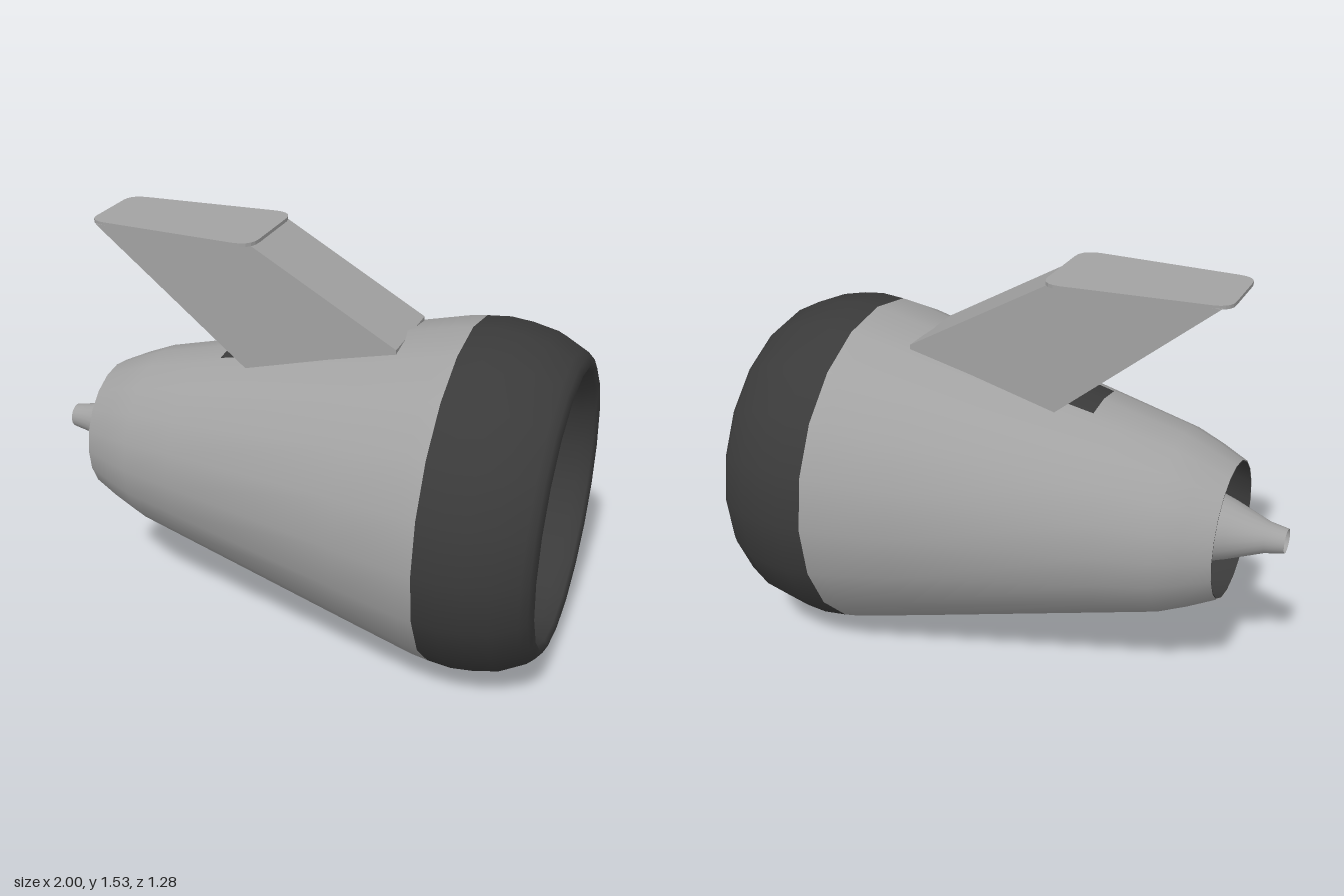
import * as THREE from 'three';

const AXIS_Y = 0.645;
const SIDES = 20;

export function createModel() {
  const light = new THREE.MeshStandardMaterial({ name: 'lightGrey', color: 0xa2a2a2, side: THREE.DoubleSide });
  const dark = new THREE.MeshStandardMaterial({ name: 'darkGrey', color: 0x3a3a3a, side: THREE.DoubleSide });

  const model = new THREE.Group();
  model.name = 'jetEngine';
  const engine = new THREE.Group();
  engine.name = 'engine';
  engine.position.y = AXIS_Y;
  model.add(engine);

  const add = (parent, name, geometry, material) => {
    const mesh = new THREE.Mesh(geometry, material);
    mesh.name = name;
    parent.add(mesh);
    return mesh;
  };

  // Revolve [x, radius] pairs round the engine's long axis
  const turned = (name, profile, material, sides = SIDES, start = 0, sweep = Math.PI * 2) => {
    const points = profile.map(([x, r]) => new THREE.Vector2(r, x));
    const geometry = new THREE.LatheGeometry(points, sides, start, sweep).rotateZ(-Math.PI / 2);
    return add(engine, name, geometry, material);
  };

  // Casing, intake lip and duct lining
  turned('casing', [[-0.8, 0.256], [-0.7, 0.304], [-0.6, 0.345], [-0.4, 0.394], [0.3, 0.565],
    [0.55, 0.625], [0.612, 0.634]], light);
  turned('intakeLip', [[0.612, 0.634], [0.7, 0.642], [0.78, 0.634], [0.87, 0.615], [0.96, 0.568],
    [0.985, 0.545], [1, 0.515], [0.985, 0.497], [0.94, 0.483], [0.85, 0.482], [0.5, 0.49]], dark);
  turned('ductLining', [[0.5, 0.49], [0.3, 0.5], [-0.58, 0.325], [-0.8, 0.252]], dark);

  // Core with its exhaust cone
  turned('exhaustCone', [[-1, 0.045], [-0.93, 0.058], [-0.8, 0.108], [-0.55, 0.19], [0.38, 0.27]], light);
  turned('coreFront', [[0.38, 0.27], [0.38, 0.001]], light);
  turned('tailPipeHole', [[-0.97, 0.001], [-0.97, 0.05]], dark);

  // Spinner
  const spinner = [];
  for (let i = 0; i <= 8; i++) {
    const a = (i / 8) * Math.PI / 2;
    spinner.push([0.46 + 0.14 * Math.sin(a), Math.max(0.122 * Math.cos(a), 0.0005)]);
  }
  turned('spinner', [[0.38, 0.122], ...spinner], dark, 24);

  // Fan of swept, twisted blades
  const fan = new THREE.Group();
  fan.name = 'fan';
  engine.add(fan);
  const BLADES = 22;
  const pitch = Math.PI * 2 / BLADES;
  const blade = bladeGeometry(pitch);
  for (let i = 0; i < BLADES; i++) {
    add(fan, 'fanBlade', blade, dark).rotation.x = i * pitch;
  }

  // Swept pylon
  const side = new THREE.Shape([[-0.1, 1.0], [0.39, 1.1], [0.39, 1.222], [-0.15, 1.528], [-0.75, 1.528], [-0.2, 1.08]]
    .map(([x, y]) => new THREE.Vector2(x, y)));
  const pylon = new THREE.ExtrudeGeometry(side, { depth: 0.326, bevelEnabled: false }).translate(0, 0, -0.163);
  add(model, 'pylon', pylon, light);

  // Mounting plate with rounded corners, wider towards the intake
  const plate = new THREE.Shape();
  plate.moveTo(-0.72, -0.162);
  plate.lineTo(-0.2, -0.192);
  plate.quadraticCurveTo(-0.13, -0.192, -0.13, -0.12);
  plate.lineTo(-0.13, 0.12);
  plate.quadraticCurveTo(-0.13, 0.192, -0.2, 0.192);
  plate.lineTo(-0.72, 0.162);
  plate.quadraticCurveTo(-0.78, 0.155, -0.78, 0.1);
  plate.lineTo(-0.78, -0.1);
  plate.quadraticCurveTo(-0.78, -0.155, -0.72, -0.162);
  const plateGeometry = new THREE.ExtrudeGeometry(plate, { depth: 0.013, bevelEnabled: false, curveSegments: 5 })
    .rotateX(-Math.PI / 2).translate(0, 1.525, 0);
  add(model, 'mountingPlate', plateGeometry, light);

  // Dark patch on the casing behind the pylon's foot
  turned('pylonFootPatch', [[-0.3, 0.423], [-0.18, 0.452]], dark, 2, Math.PI * 1.5 - 0.25, 0.5);

  return model;
}

// One blade: cross-sections from root to tip, each a curved strip across the chord
function bladeGeometry(pitch) {
  const ROWS = 8, COLS = 3;
  const positions = [], index = [];
  for (let i = 0; i <= ROWS; i++) {
    const t = i / ROWS;
    const r = 0.105 + 0.382 * t;
    const width = pitch * (0.5 + 0.6 * Math.min(1, t / 0.4));
    const depth = 0.2 - 0.1 * t;
    const middle = 0.38 * Math.pow(t, 1.6);
    for (let j = 0; j <= COLS; j++) {
      const s = j / COLS - 0.5;
      const a = middle + s * width;
      positions.push(0.52 + s * depth, r * Math.cos(a), -r * Math.sin(a));
      if (i < ROWS && j < COLS) {
        const p = i * (COLS + 1) + j, q = p + COLS + 1;
        index.push(p, p + 1, q, p + 1, q + 1, q);
      }
    }
  }
  const geometry = new THREE.BufferGeometry();
  geometry.setAttribute('position', new THREE.Float32BufferAttribute(positions, 3));
  geometry.setIndex(index);
  geometry.computeVertexNormals();
  return geometry;
}
